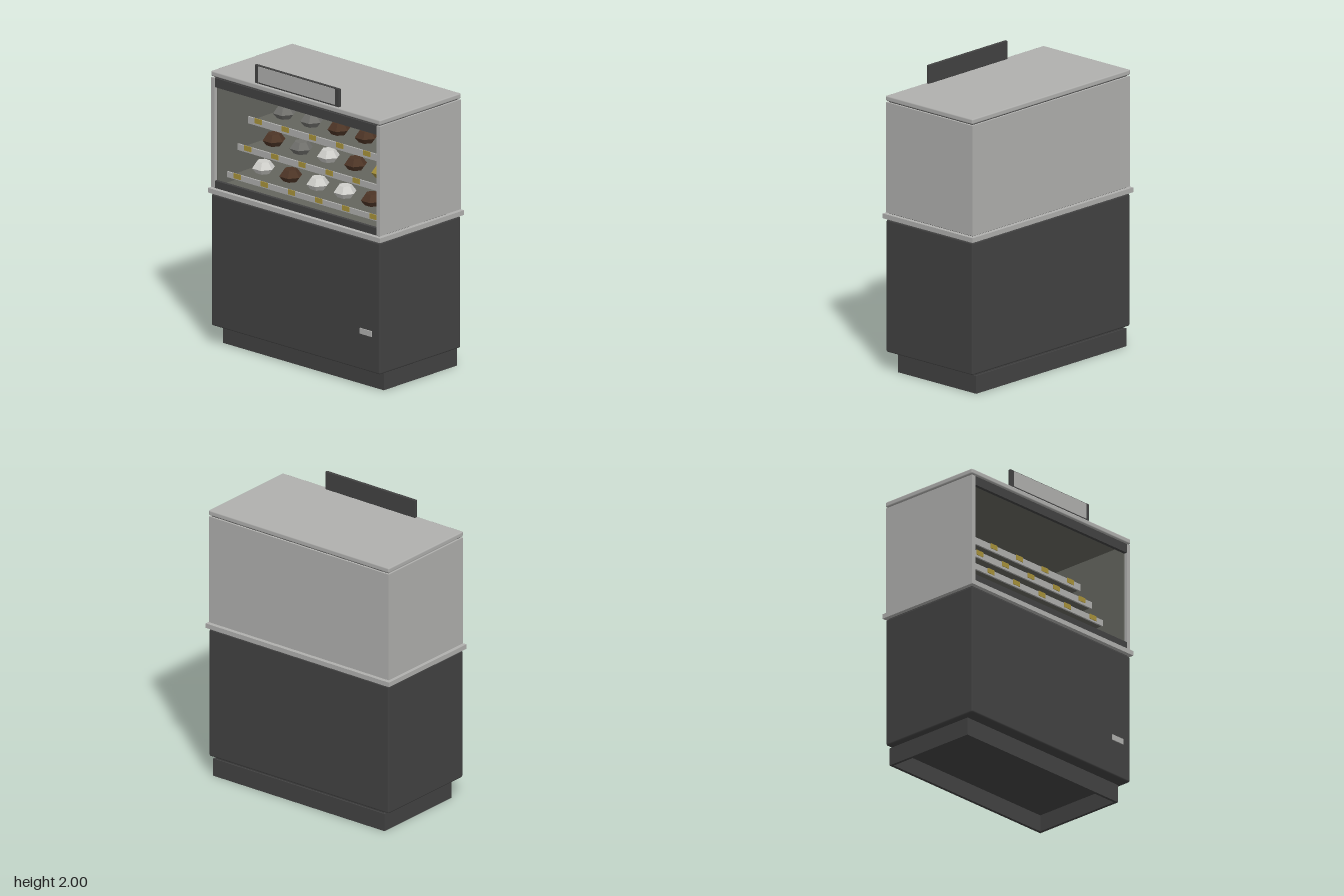
import * as THREE from 'three';
import { RoundedBoxGeometry } from 'three/addons/geometries/RoundedBoxGeometry.js';

const mat = (name, color) => {
  const m = new THREE.MeshStandardMaterial({ color });
  m.name = name;
  return m;
};

export function createModel() {
  const model = new THREE.Group();
  model.name = 'displayCounter';
  const grey = mat('light grey', 0xb0b0ae);
  const dark = mat('charcoal', 0x424242);
  const lining = mat('interior grey', 0x64655e);
  const gold = mat('gold', 0xa8923a);
  const brown = mat('chocolate', 0x4d3526);
  const stone = mat('medium grey', 0x70706c);
  const white = mat('cream white', 0xcfcfcb);

  // Box given by its limits on each axis; a radius chamfers the edges
  const box = (name, material, [x0, x1], [y0, y1], [z0, z1], radius = 0, parent = model) => {
    const size = [x1 - x0, y1 - y0, z1 - z0];
    const geo = radius ? new RoundedBoxGeometry(...size, 1, radius) : new THREE.BoxGeometry(...size);
    const mesh = new THREE.Mesh(geo, material);
    mesh.name = name;
    mesh.position.set((x0 + x1) / 2, (y0 + y1) / 2, (z0 + z1) / 2);
    parent.add(mesh);
    return mesh;
  };

  // Hollow plinth, set back at the front and open underneath
  for (const s of [-1, 1]) {
    const x = s * 0.705;
    box('plinthSide', dark, [x - 0.01, x + 0.01], [0, 0.122], [-0.385, 0.31]);
  }
  box('plinthFront', dark, [-0.7, 0.7], [0, 0.122], [0.29, 0.31]);
  box('plinthBack', dark, [-0.7, 0.7], [0, 0.122], [-0.385, -0.365]);
  box('plinthTop', dark, [-0.7, 0.7], [0.115, 0.14], [-0.375, 0.3]);

  // Cabinet, badge plate and counter
  box('cabinet', dark, [-0.75, 0.75], [0.13, 1.032], [-0.385, 0.385], 0.012);
  box('badgePlate', grey, [0.575, 0.68], [0.377, 0.415], [0.384, 0.392]);
  box('counterGap', dark, [-0.735, 0.735], [1.02, 1.085], [-0.37, 0.37]);
  box('counter', grey, [-0.765, 0.765], [1.04, 1.072], [-0.4, 0.4]);

  // Glass-fronted case: walls, lining and lid
  for (const s of [-1, 1]) {
    const x = s * 0.735;
    box('caseSide', grey, [x - 0.015, x + 0.015], [1.08, 1.83], [-0.385, 0.385]);
    box('sideLining', lining, [s * 0.718 - 0.003, s * 0.718 + 0.003], [1.08, 1.83], [-0.36, 0.36]);
  }
  box('caseBack', grey, [-0.74, 0.74], [1.08, 1.83], [-0.385, -0.365]);
  box('backLining', lining, [-0.72, 0.72], [1.08, 1.83], [-0.366, -0.36]);
  box('floorLining', lining, [-0.72, 0.72], [1.08, 1.088], [-0.36, 0.36]);
  box('ceilingLining', lining, [-0.72, 0.72], [1.822, 1.83], [-0.36, 0.36]);
  box('topRail', dark, [-0.72, 0.72], [1.768, 1.83], [0.36, 0.383]);
  box('bottomRail', dark, [-0.72, 0.72], [1.08, 1.127], [0.36, 0.383]);
  box('lidGap', dark, [-0.735, 0.735], [1.825, 1.85], [-0.37, 0.37]);
  box('lid', grey, [-0.753, 0.753], [1.838, 1.875], [-0.387, 0.387], 0.01);

  // Sign board on the lid
  box('signBoard', dark, [-0.375, 0.375], [1.874, 2], [0.353, 0.374], 0.004);
  box('signPanel', grey, [-0.342, 0.342], [1.886, 1.994], [0.372, 0.377]);

  // Faceted six-sided sweet, shared by all shelves
  const profile = [[0, 0], [0.05, 0], [0.078, 0.035], [0.045, 0.08], [0, 0.08]];
  const sweetGeo = new THREE.LatheGeometry(profile.map(p => new THREE.Vector2(...p)), 6)
    .rotateY(Math.PI / 6).toNonIndexed();
  sweetGeo.computeVertexNormals();

  // Stepped shelves, top to bottom, each with a lip, price tags and sweets
  const sweets = { g: stone, b: brown, w: white, y: gold };
  const shelves = [
    { top: 1.66, lip: 0.048, front: -0.01, row: 'gbbgbg' },
    { top: 1.5, lip: 0.046, front: 0.09, row: 'ggbbwb' },
    { top: 1.338, lip: 0.042, front: 0.19, row: 'bgwbyw' },
    { top: 1.172, lip: 0.038, front: 0.29, row: 'wbwwby' },
  ];
  for (const { top, lip, front, row } of shelves) {
    const shelf = new THREE.Group();
    shelf.name = 'shelf';
    model.add(shelf);
    const floor = top - 0.033;
    box('shelfBoard', lining, [-0.7, 0.7], [floor - 0.005, floor], [-0.36, front - 0.01], 0, shelf);
    box('shelfLip', grey, [-0.7, 0.7], [top - lip, top], [front - 0.012, front], 0, shelf);
    [...row].forEach((key, i) => {
      const x = -0.58 + i * 0.242;
      const tag = x - 0.027;
      box('priceTag', gold, [tag - 0.031, tag + 0.031], [top - 0.03, top + 0.004], [front - 0.001, front + 0.004], 0, shelf);
      const sweet = new THREE.Mesh(sweetGeo, sweets[key]);
      sweet.name = 'sweet';
      sweet.position.set(x, floor, front - 0.22);
      shelf.add(sweet);
    });
  }
  return model;
}
